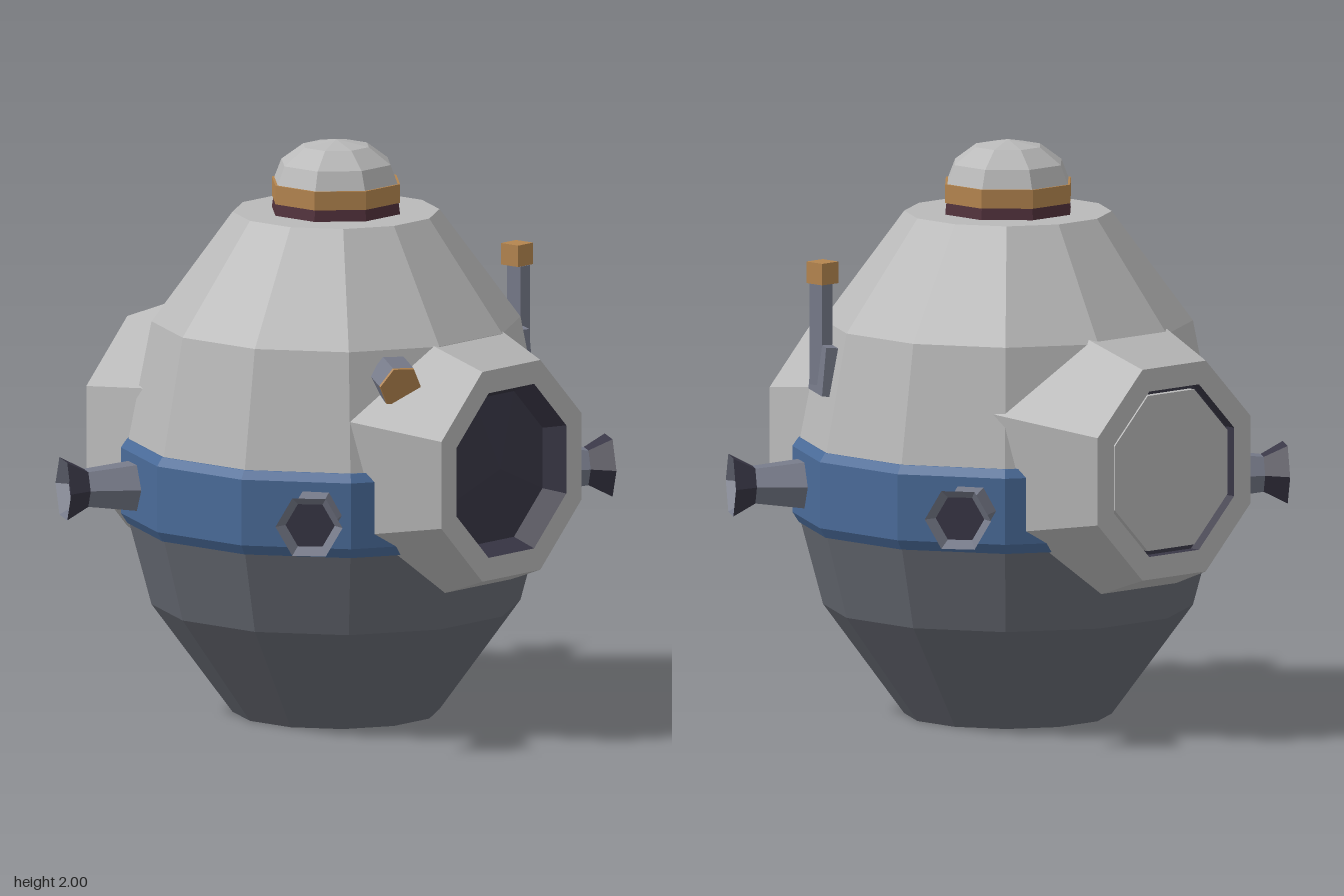
import * as THREE from 'three';

const mat = (name, color) => {
  const m = new THREE.MeshStandardMaterial({ color, flatShading: true });
  m.name = name;
  return m;
};

export function createModel() {
  const hull = mat('light grey hull', 0xb9b9b9);
  const lower = mat('dark grey hull', 0x666972);
  const blue = mat('blue belt', 0x4a6b99);
  const tan = mat('tan', 0xb4854f);
  const maroon = mat('maroon', 0x50303a);
  const slate = mat('slate metal', 0x767a89);
  const dark = mat('dark glass', 0x393746);

  const model = new THREE.Group();
  const Z0 = 0.01; // body axis sits slightly forward

  const add = (parent, name, geometry, material) => {
    const m = new THREE.Mesh(geometry, material);
    m.name = name;
    parent.add(m);
    return m;
  };
  const group = (name, parent = model) => {
    const g = new THREE.Group();
    g.name = name;
    parent.add(g);
    return g;
  };
  // Faceted solid of revolution; radii are measured to the flat sides when flat is true
  const facet = (points, sides, flat = true) => {
    const k = flat ? 1 / Math.cos(Math.PI / sides) : 1;
    return new THREE.LatheGeometry(
      points.map(([r, y]) => new THREE.Vector2(r * k, y)),
      sides, flat ? Math.PI / sides : 0);
  };

  // Twelve-sided body
  const body = group('body');
  body.position.z = Z0;
  add(body, 'lowerHull', facet([[0, 0], [0.345, 0], [0.615, 0.38], [0.695, 0.69]], 12), lower);
  add(body, 'belt', facet([[0.66, 0.665], [0.695, 0.665], [0.717, 0.70], [0.717, 0.93], [0.697, 0.96], [0.66, 0.96]], 12), blue);
  add(body, 'upperHull', facet([[0.695, 0.94], [0.615, 1.37], [0.345, 1.75], [0, 1.75]], 12), hull);

  // Eight-sided cap on top
  const cap = group('topCap', body);
  add(cap, 'capBase', facet([[0.215, 1.75], [0.21, 1.79]], 8), maroon);
  add(cap, 'capBand', facet([[0.20, 1.79], [0.215, 1.79], [0.215, 1.855], [0.20, 1.855]], 8), tan);
  add(cap, 'capDome', facet([[0.207, 1.855], [0.183, 1.92], [0.11, 1.978], [0, 2.0]], 8), hull);

  // Octagonal collars, window in front and hatch at the back
  const collar = (name) => {
    const g = group(name);
    g.position.y = 0.935;
    const ring = facet([[0.515, 0.40], [0.367, 0.81], [0.288, 0.81]], 8).rotateX(Math.PI / 2);
    add(g, name + 'Collar', ring, hull);
    return g;
  };
  const front = collar('window');
  add(front, 'windowGlass', facet([[0.288, 0.81], [0.255, 0.73], [0, 0.76]], 8).rotateX(Math.PI / 2), dark);
  const back = collar('hatch');
  back.rotation.y = Math.PI;
  add(back, 'hatchRecess', facet([[0.288, 0.81], [0.288, 0.77], [0, 0.77]], 8).rotateX(Math.PI / 2), dark);
  add(back, 'hatchPanel', facet([[0.27, 0.77], [0.27, 0.795], [0, 0.795]], 8).rotateX(Math.PI / 2), hull);

  // Four six-sided thrusters pointing outwards
  for (const deg of [35.5, 144.5, 215.5, 324.5]) {
    const t = group('thruster');
    t.position.set(0, 0.817, Z0);
    t.rotation.y = THREE.MathUtils.degToRad(deg);
    const part = (name, points, material) =>
      add(t, name, facet(points, 6, false).rotateZ(-Math.PI / 2), material);
    part('thrusterTube', [[0.105, 0.62], [0.07, 0.885]], slate);
    part('thrusterBell', [[0.07, 0.885], [0.116, 0.965]], dark);
    part('thrusterInside', [[0.116, 0.965], [0.085, 0.925]], slate);
    part('thrusterCore', [[0.085, 0.925], [0, 0.925]], dark);
  }

  // Antenna on the left shoulder
  const antenna = group('antenna');
  const plate = add(antenna, 'antennaPlate', new THREE.BoxGeometry(0.05, 0.17, 0.19), slate);
  plate.position.set(0.563, 1.225, 0.338);
  plate.rotation.set(0, -Math.PI / 6, THREE.MathUtils.degToRad(5));
  add(antenna, 'antennaMast', new THREE.BoxGeometry(0.05, 0.35, 0.06), slate).position.set(0.572, 1.345, 0.345);
  add(antenna, 'antennaTip', new THREE.BoxGeometry(0.078, 0.075, 0.078), tan).position.set(0.568, 1.56, 0.342);

  // Lamp on the right shoulder, aimed forward, outward and down
  const lamp = group('lamp');
  lamp.position.set(-0.335, 1.27, 0.57);
  lamp.quaternion.setFromUnitVectors(
    new THREE.Vector3(0, 0, 1), new THREE.Vector3(-0.42, -0.28, 0.86).normalize());
  const housing = new THREE.CylinderGeometry(0.078, 0.078, 0.09, 6).rotateX(Math.PI / 2).rotateZ(Math.PI / 6);
  add(lamp, 'lampHousing', housing, slate);
  const lens = new THREE.CylinderGeometry(0.076, 0.078, 0.008, 6).rotateX(Math.PI / 2).rotateZ(Math.PI / 6);
  add(lamp, 'lampLens', lens, tan).position.z = 0.049;

  return model;
}
